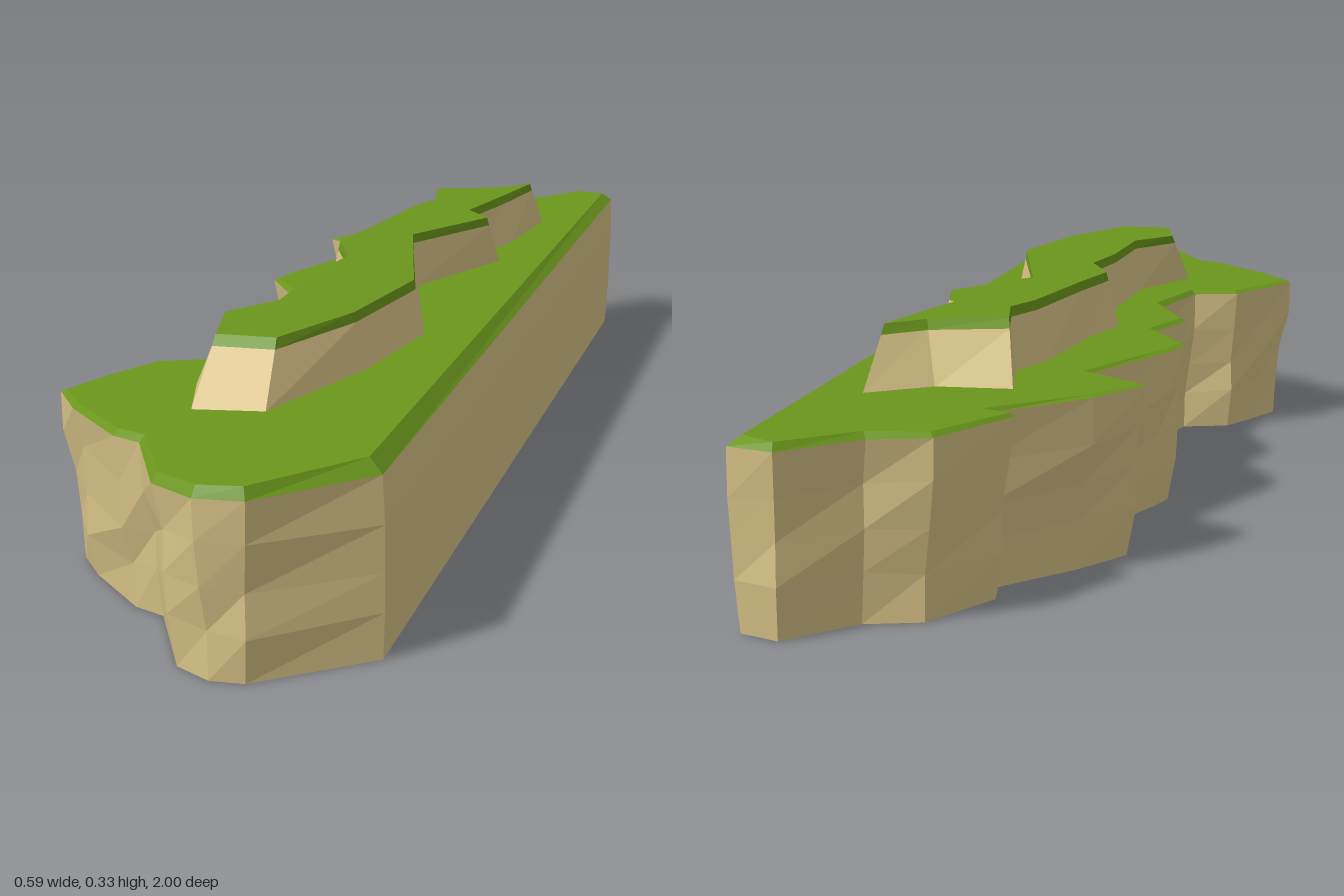
import * as THREE from 'three';

const tan = new THREE.MeshStandardMaterial({ color: 0xd8c387, flatShading: true });
const green = new THREE.MeshStandardMaterial({ color: 0x6b961c, flatShading: true });

// Island outline seen from above, as x, z: back, straight side, front, jagged side
const coast = pairs([
  0, -1, 0.068, -0.985, 0.293, 0.835, 0.18, 0.99, 0.115, 1, 0.045, 0.965, -0.045, 0.82,
  -0.09, 0.805, -0.2, 0.71, -0.257, 0.64, -0.235, 0.545, -0.203, 0.46, -0.135, 0.43,
  -0.122, 0.265, -0.2, 0.13, -0.182, 0.01, -0.262, -0.095, -0.255, -0.16, -0.198, -0.38,
  -0.298, -0.435, -0.257, -0.55, -0.16, -0.69, -0.2, -0.7, -0.15, -0.86, -0.075, -0.895,
]);

// Foot and crest of the raised ridge, matched point for point
const ridgeFoot = pairs([
  -0.145, -0.555, -0.045, -0.587, 0.024, -0.672, 0.03, -0.47, 0.012, -0.36, 0.06, -0.312,
  -0.01, -0.09, 0.118, 0.215, 0.113, 0.43, 0.066, 0.675, -0.035, 0.69, -0.087, 0.565,
  -0.045, 0.4, -0.066, 0.21, -0.066, 0.09, -0.124, 0.005, -0.113, -0.13, -0.12, -0.33, -0.105, -0.43,
]);
const ridgeCrest = pairs([
  -0.119, -0.497, -0.018, -0.545, 0.022, -0.6, 0.013, -0.47, 0, -0.328, 0.05, -0.275,
  -0.018, -0.1, 0.1, 0.21, 0.093, 0.43, 0.05, 0.6, -0.035, 0.61, -0.076, 0.49,
  -0.034, 0.4, -0.055, 0.21, -0.055, 0.09, -0.108, -0.01, -0.103, -0.13, -0.1, -0.33, -0.087, -0.4,
]);

function pairs(list) {
  const out = [];
  for (let i = 0; i < list.length; i += 2) out.push(new THREE.Vector2(list[i], list[i + 1]));
  return out;
}

// Outward unit direction at each corner of an outline
function outward(ring) {
  const n = ring.length;
  const edge = (a, b) => new THREE.Vector2(b.y - a.y, a.x - b.x).normalize();
  return ring.map((p, i) =>
    edge(ring[(i + n - 1) % n], p).add(edge(p, ring[(i + 1) % n])).normalize());
}

const lift = (ring, y) => ring.map((p) => new THREE.Vector3(p.x, y, p.y));

// Skin stacked rings (lowest first), with optional flat caps
function loft(name, rings, material, { top = false, bottom = false } = {}) {
  const n = rings[0].length;
  const index = [];
  for (let r = 0; r + 1 < rings.length; r++) {
    for (let i = 0; i < n; i++) {
      const a = r * n + i, b = r * n + (i + 1) % n;
      index.push(b, a, a + n, b, a + n, b + n);
    }
  }
  const cap = (r, up) => {
    const flat = rings[r].map((v) => new THREE.Vector2(v.x, -v.z));
    for (const [a, b, c] of THREE.ShapeUtils.triangulateShape(flat, [])) {
      const facesUp = THREE.ShapeUtils.area([flat[a], flat[b], flat[c]]) > 0;
      const o = r * n;
      if (facesUp === up) index.push(o + a, o + b, o + c);
      else index.push(o + a, o + c, o + b);
    }
  };
  if (top) cap(rings.length - 1, true);
  if (bottom) cap(0, false);
  const indexed = new THREE.BufferGeometry().setFromPoints(rings.flat());
  indexed.setIndex(index);
  const geometry = indexed.toNonIndexed();
  geometry.computeVertexNormals();
  const mesh = new THREE.Mesh(geometry, material);
  mesh.name = name;
  return mesh;
}

export function createModel() {
  const group = new THREE.Group();
  group.name = 'grassyCliffIsland';
  const dirs = outward(coast);
  const onStraightSide = (i) => i === 1 || i === 2;

  // Rock walls: tapering inward to the base, gently uneven except on the straight side
  const levels = [[0, 0.027], [0.065, 0.02], [0.12, 0.014], [0.18, 0.007], [0.24, 0]];
  const walls = levels.map(([y, inset], r) => coast.map((p, i) => {
    const inner = r > 0 && r < levels.length - 1;
    const rough = inner ? 0.006 * Math.sin(i * 2.3 + r * 1.9) : 0;
    const push = onStraightSide(i) ? (inner ? 0.003 : 0) : rough - inset;
    const rowY = inner ? y + 0.006 * Math.sin(i * 1.3 + r) : y;
    // The back end of the straight side leans in with the back wall
    const z = p.y + dirs[i].y * push + (i === 1 ? inset : 0);
    return new THREE.Vector3(p.x + dirs[i].x * push, rowY, z);
  }));
  group.add(loft('cliff', walls, tan, { bottom: true }));

  // Grass layer: bevelled rim and a top that rises toward the straight side
  const rim = lift(coast, 0.24);
  const lawn = coast.map((p, i) => {
    const inset = onStraightSide(i) ? 0.02 : 0.009;
    const x = p.x - dirs[i].x * inset;
    return new THREE.Vector3(x, 0.251 + 0.031 * x, p.y - dirs[i].y * inset);
  });
  group.add(loft('grass', [rim, lawn], green, { top: true }));

  // Ridge: sloping rock sides with a grass cap
  const foot = ridgeFoot.map((p) => new THREE.Vector3(p.x, 0.25 + 0.031 * p.x, p.y));
  const crest = lift(ridgeCrest, 0.334);
  const shoulder = foot.map((p, i) => {
    const v = p.clone().lerp(crest[i], 0.85);
    v.y = 0.32;
    return v;
  });
  group.add(loft('ridgeRock', [foot, shoulder], tan));
  group.add(loft('ridgeGrass', [shoulder, crest], green, { top: true }));
  return group;
}
